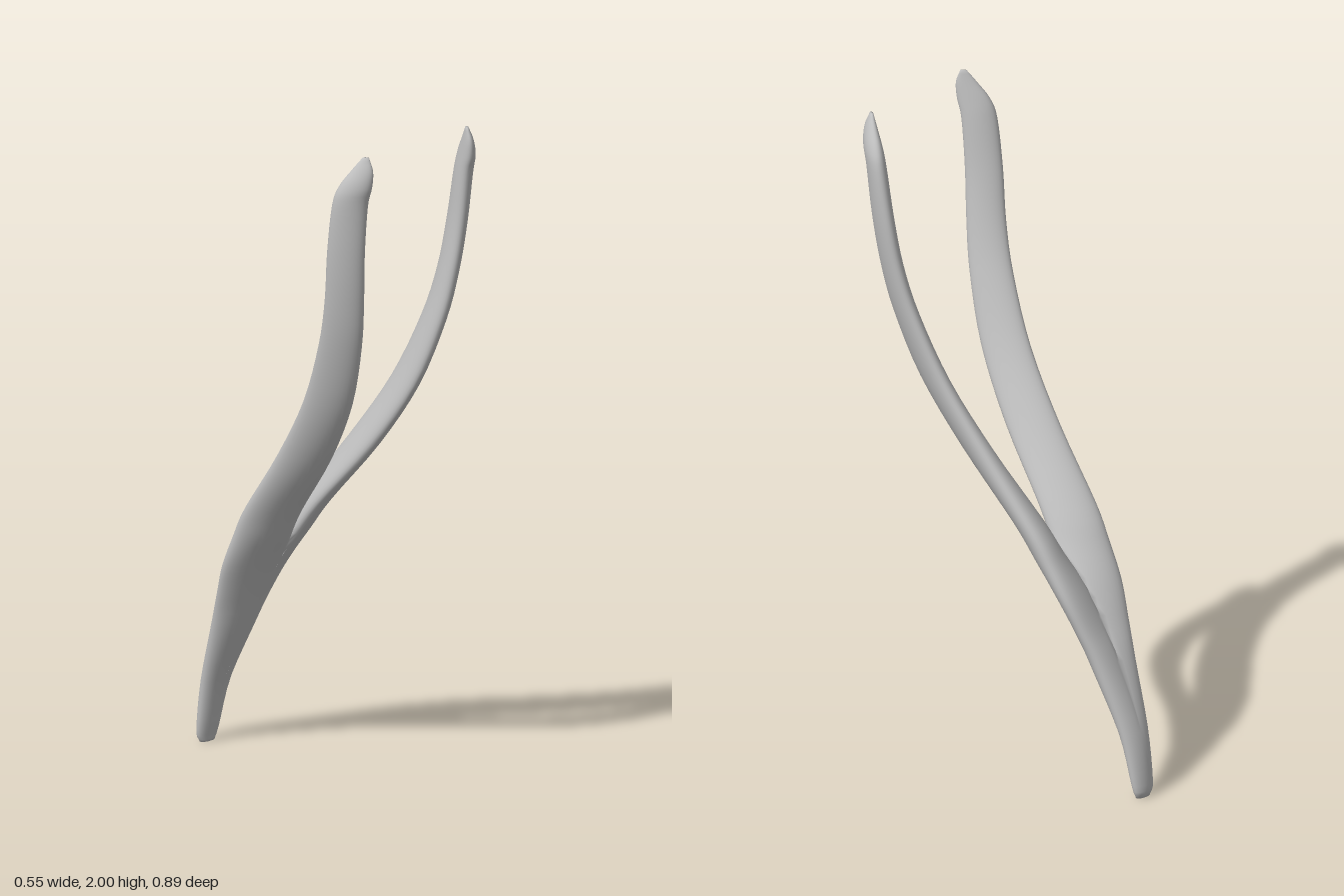
import * as THREE from 'three';
import { mergeVertices } from 'three/addons/utils/BufferGeometryUtils.js';

// Level cross-sections of one half: [y, inner x, outer x, back z, front z]
const SECTIONS = [
  [0.0, -0.028, 0.028, -0.44, -0.412],
  [0.04, -0.042, 0.042, -0.445, -0.402],
  [0.2, -0.055, 0.055, -0.42, -0.355],
  [0.4, -0.06, 0.085, -0.345, -0.25],
  [0.5, -0.055, 0.107, -0.3, -0.197],
  [0.6, -0.035, 0.13, -0.255, -0.138],
  [0.7, 0.0, 0.143, -0.2, -0.07],
  [0.8, 0.025, 0.155, -0.14, 0.0],
  [1.0, 0.075, 0.178, 0.015, 0.165],
  [1.2, 0.12, 0.207, 0.15, 0.29],
  [1.4, 0.157, 0.237, 0.242, 0.362],
  [1.55, 0.18, 0.257, 0.286, 0.392],
  [1.7, 0.196, 0.272, 0.31, 0.41],
  [1.85, 0.2, 0.277, 0.335, 0.426],
  [1.91, 0.2, 0.267, 0.354, 0.442],
  [1.96, 0.201, 0.243, 0.385, 0.444],
  [2.0, 0.206, 0.22, 0.412, 0.428],
];
const STEPS = 64;
const SIDES = 32;

// Rings of points for the half on +x, cut off at the middle plane
function makeRings() {
  const inner = new THREE.CatmullRomCurve3(
    SECTIONS.map(([y, xi, , zb]) => new THREE.Vector3(xi, y, zb)), false, 'catmullrom', 0.5);
  const outer = new THREE.CatmullRomCurve3(
    SECTIONS.map(([y, , xo, , zf]) => new THREE.Vector3(xo, y, zf)), false, 'catmullrom', 0.5);
  const rings = [];
  for (let i = -1; i <= STEPS + 1; i++) {
    const t = THREE.MathUtils.clamp(i / STEPS, 0, 1);
    const size = i < 0 || i > STEPS ? 0 : 1; // end caps close to a point
    const a = inner.getPoint(t), b = outer.getPoint(t);
    const lean = 0.55 * THREE.MathUtils.smoothstep(a.y, 0.1, 0.6); // turns the oval inwards
    const upright = Math.sqrt(1 - lean * lean);
    const ring = [];
    for (let j = 0; j < SIDES; j++) {
      const c = Math.cos((j / SIDES) * Math.PI * 2), s = Math.sin((j / SIDES) * Math.PI * 2);
      const x = (a.x + b.x) / 2 + size * c * (b.x - a.x) / 2;
      const z = (a.z + b.z) / 2 + size * (upright * s - lean * c) * (b.z - a.z) / 2;
      ring.push([x < 1e-5 ? 0 : x, a.y, z]);
    }
    rings.push(ring);
  }
  return rings;
}

// Both mirrored halves joined into one smooth skin
function forkGeometry() {
  const rings = makeRings();
  const positions = [];
  const addTriangle = (p, q, r) => {
    if (p[0] === 0 && q[0] === 0 && r[0] === 0) return; // no wall inside the stem
    positions.push(...p, ...q, ...r);
    for (const v of [p, r, q]) positions.push(v[0] === 0 ? 0 : -v[0], v[1], v[2]);
  };
  for (let i = 0; i < rings.length - 1; i++) {
    for (let j = 0; j < SIDES; j++) {
      const k = (j + 1) % SIDES;
      addTriangle(rings[i][j], rings[i + 1][j], rings[i][k]);
      addTriangle(rings[i][k], rings[i + 1][j], rings[i + 1][k]);
    }
  }
  const geometry = new THREE.BufferGeometry();
  geometry.setAttribute('position', new THREE.Float32BufferAttribute(positions, 3));
  const merged = mergeVertices(geometry, 1e-5);
  merged.computeVertexNormals();
  return merged;
}

export function createModel() {
  const grey = new THREE.MeshStandardMaterial({ color: 0xc0c0c0 });
  grey.name = 'plain grey';
  const fork = new THREE.Mesh(forkGeometry(), grey);
  fork.name = 'forkedStem';
  const group = new THREE.Group();
  group.name = 'forkedBranch';
  group.add(fork);
  return group;
}
